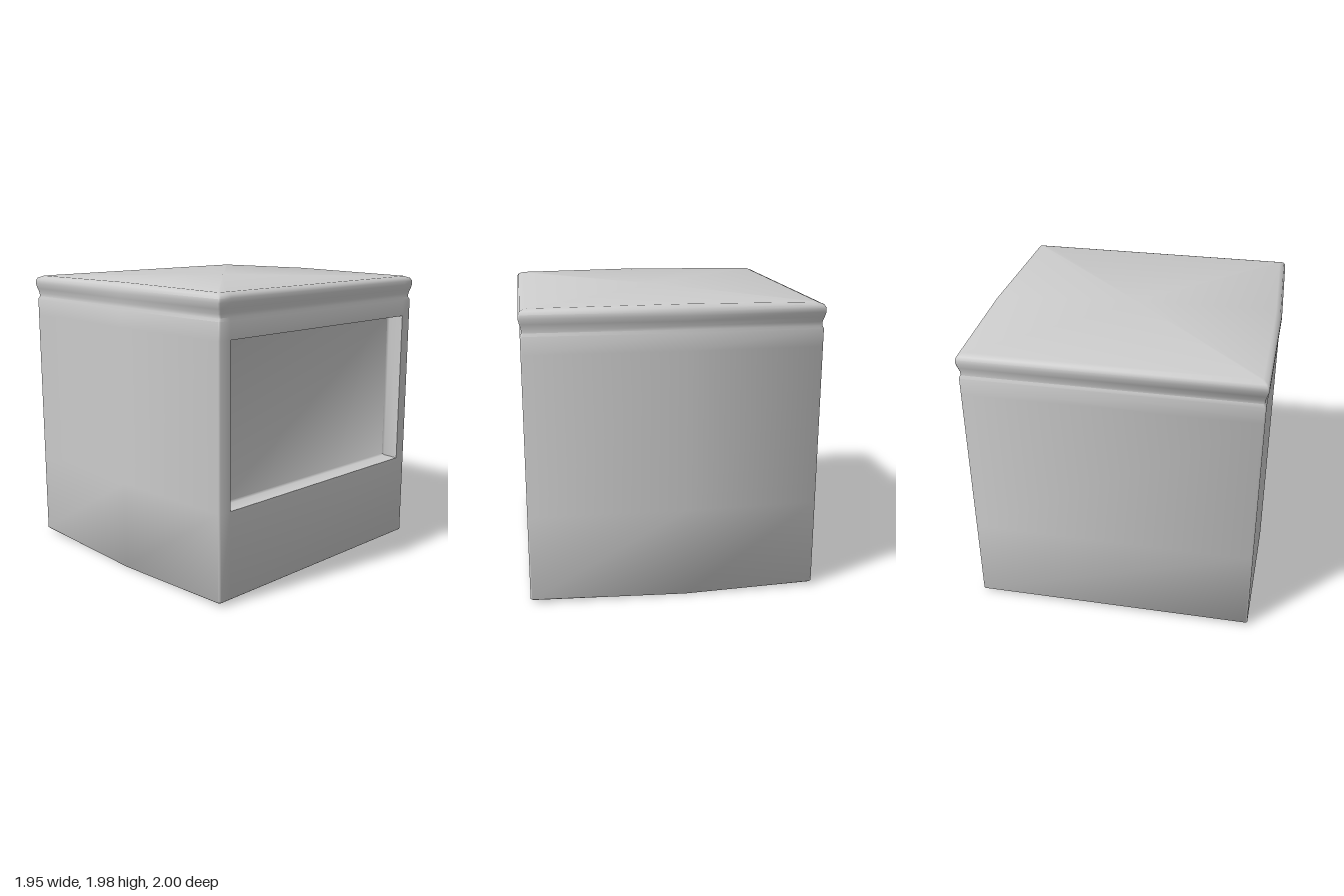
import * as THREE from 'three';
import { toCreasedNormals } from 'three/addons/utils/BufferGeometryUtils.js';

const OPEN_Z = 0.875, OPEN_LOW = 0.61, OPEN_HIGH = 1.68, SIDE_X = 0.965, DEPTH = 0.12;
const BULGE = 0.021, BEVEL = 0.01;

// Collects quads and triangles, then returns a geometry with soft bevels and sharp folds
function surface() {
  const p = [];
  const tri = (a, b, c) => p.push(...a, ...b, ...c);
  const quad = (a, b, c, d) => { tri(a, b, c); tri(a, c, d); };
  const build = (crease) => {
    const g = new THREE.BufferGeometry();
    g.setAttribute('position', new THREE.Float32BufferAttribute(p, 3));
    return toCreasedNormals(g, crease);
  };
  return { tri, quad, build };
}

// One horizontal section: front and back swell to a shallow peak, corners are bevelled
function section([hx, hz, y, lift]) {
  const plan = [
    [-hx + BEVEL, hz], [0.05, hz + BULGE], [hx - BEVEL, hz],
    [hx, hz - BEVEL], [hx, OPEN_Z], [hx, -OPEN_Z], [hx, -hz + BEVEL],
    [hx - BEVEL, -hz], [-0.08, -hz - BULGE], [-hx + BEVEL, -hz],
    [-hx, -hz + BEVEL], [-hx, hz - BEVEL],
  ];
  return plan.map(([x, z]) => [x, y + lift * (1 - Math.abs(x) / hx), z]);
}

// Block body with moulded rim: half width, half depth, height, lift towards the middle
function bodyGeometry() {
  const rows = [
    [0.958, 0.963, 0.02, -0.02],
    [SIDE_X, 0.968, 0.026, -0.02],
    [SIDE_X, 0.968, OPEN_LOW, 0],
    [SIDE_X, 0.968, OPEN_HIGH, 0],
    [SIDE_X, 0.968, 1.795, 0],
    [0.956, 0.959, 1.815, 0],
    [0.957, 0.96, 1.84, 0],
    [0.966, 0.969, 1.87, 0],
    [0.974, 0.978, 1.905, 0],
    [0.973, 0.977, 1.93, 0],
    [0.962, 0.966, 1.95, 0.006],
    [0.925, 0.935, 1.964, 0.011],
  ];
  const rings = rows.map(section);
  const s = surface();
  for (let r = 0; r < rings.length - 1; r++) {
    const lo = rings[r], hi = rings[r + 1];
    for (let i = 0; i < lo.length; i++) {
      if (r === 2 && i === 4) continue; // opening of the recess
      const j = (i + 1) % lo.length;
      s.quad(lo[i], lo[j], hi[j], hi[i]);
    }
  }
  // Top and bottom faces
  const top = rings[rings.length - 1], bottom = rings[0];
  top.forEach((a, i) => {
    const j = (i + 1) % top.length;
    s.tri([0, 1.975, 0], a, top[j]);
    s.tri([0, 0, 0], bottom[j], bottom[i]);
  });
  return s.build(0.9);
}

// Recessed panel: straight walls, a small bevel and a flat floor
function recessGeometry() {
  const loop = (x, inset) => [[1, 0], [-1, 0], [-1, 1], [1, 1]].map(([sz, up]) =>
    [x, up ? OPEN_HIGH - inset : OPEN_LOW + inset, sz * (OPEN_Z - inset)]);
  const floorX = SIDE_X - DEPTH;
  const loops = [loop(SIDE_X, 0), loop(floorX + 0.012, 0.004), loop(floorX, 0.016)];
  const s = surface();
  for (let k = 0; k < 2; k++) {
    for (let i = 0; i < 4; i++) {
      const j = (i + 1) % 4;
      s.quad(loops[k][i], loops[k][j], loops[k + 1][j], loops[k + 1][i]);
    }
  }
  s.quad(...loops[2]);
  return s.build(0.9);
}

export function createModel() {
  const group = new THREE.Group();
  group.name = 'recessedBlock';
  const material = new THREE.MeshStandardMaterial({ color: 0xcccccc });
  const add = (name, geometry) => {
    const mesh = new THREE.Mesh(geometry, material);
    mesh.name = name;
    group.add(mesh);
  };
  add('bodyWithRim', bodyGeometry());
  add('sideRecess', recessGeometry());
  return group;
}
